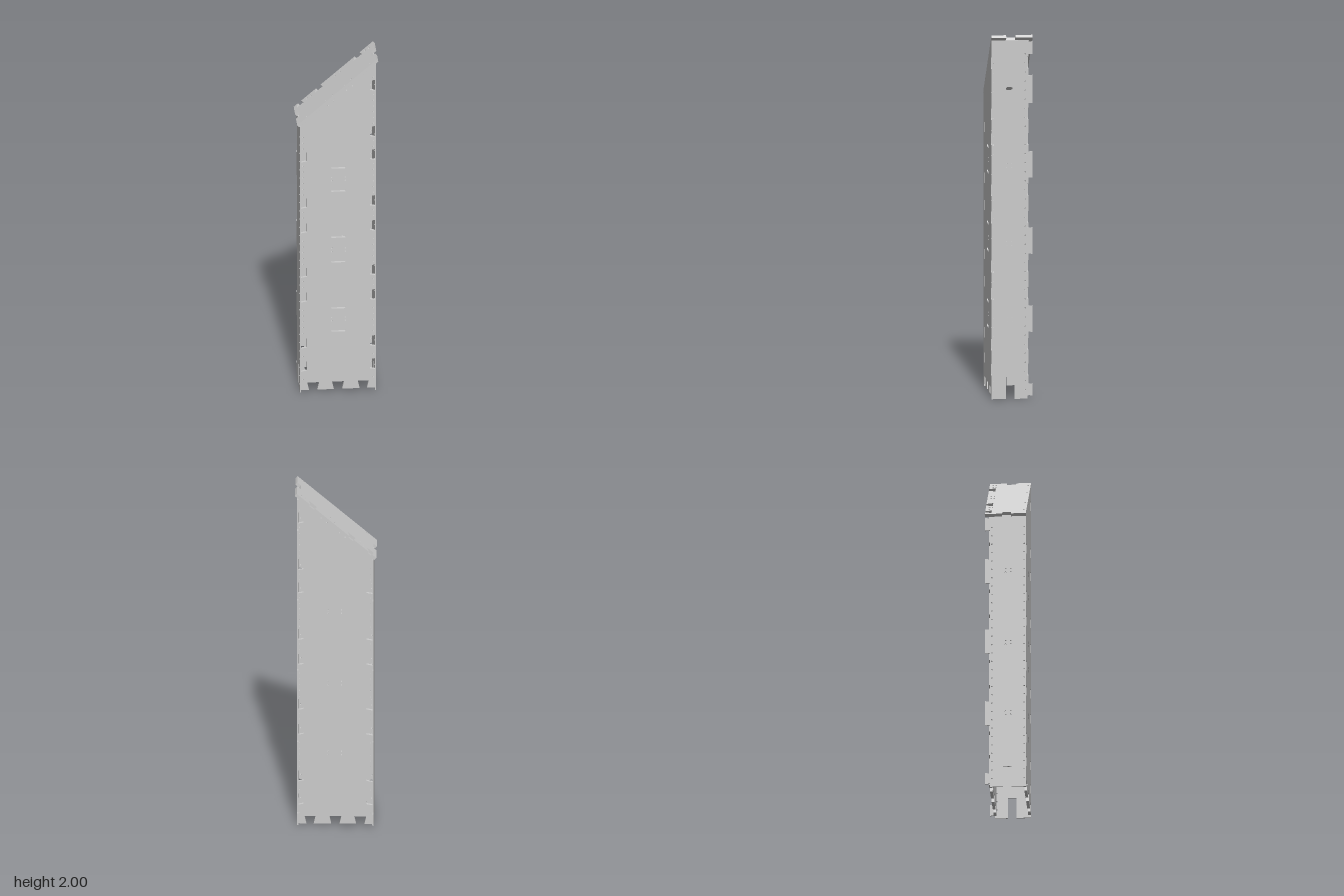
import * as THREE from 'three';

const T = 0.015;                               // sheet thickness
const SLOPE = 0.882, ANGLE = Math.atan(SLOPE), COS = Math.cos(ANGLE), SIN = Math.sin(ANGLE);
const ROOF_X = -0.22, ROOF_Y = 1.625;          // low corner of the roof
const under = x => ROOF_Y + (x - ROOF_X) * SLOPE - 0.0225;
const material = new THREE.MeshStandardMaterial({ color: 0xcccccc, side: THREE.DoubleSide });

// Points from a towards b (counter-clockwise outline), with dovetail cuts given
// as [low, high] along the edge; a negative depth makes tabs instead of notches
function edge(a, b, cuts = [], depth = 0, flare = 0) {
  const k = Math.abs(b[0] - a[0]) > Math.abs(b[1] - a[1]) ? 0 : 1;
  const s = Math.sign(b[k] - a[k]);
  const inward = k === 0 ? s : -s;
  const base = a[1 - k];
  const pts = [a];
  const put = (along, off) => pts.push(k === 0 ? [along, base + off] : [base + off, along]);
  [...cuts].sort((p, q) => s * (p[0] - q[0])).forEach(([lo, hi]) => {
    const [p, q] = s > 0 ? [lo, hi] : [hi, lo];
    put(p, 0);
    put(p - s * flare, inward * depth);
    put(q + s * flare, inward * depth);
    put(q, 0);
  });
  return pts;
}

const dot = (x, y, r = 0.0045) => new THREE.Path().absarc(x, y, r, 0, Math.PI * 2, true);

// Long slot with rounded ends
function slot(x, y, w, h) {
  const r = h / 2, d = w / 2 - r;
  return new THREE.Path().absarc(x + d, y, r, -Math.PI / 2, Math.PI / 2, false)
    .absarc(x - d, y, r, Math.PI / 2, Math.PI * 1.5, false);
}

function panel(name, points, holes, depth) {
  const shape = new THREE.Shape(points.map(p => new THREE.Vector2(p[0], p[1])));
  shape.holes = holes;
  const geo = new THREE.ExtrudeGeometry(shape, { depth, bevelEnabled: false, curveSegments: 5 });
  const mesh = new THREE.Mesh(geo, material);
  mesh.name = name;
  return mesh;
}

const LEVELS = [0.44, 0.86, 1.29];             // heights of the fixing holes
// 2 x 2 groups of fixing holes
const fixings = (cx, dx) => LEVELS.flatMap(y =>
  [-dx, dx].flatMap(x => [-0.01, 0.01].map(d => dot(cx + x, y + d))));

const LOW_NOTCHES = [0.16, 0.3, 0.58, 0.73, 1.0, 1.15, 1.43];
const HIGH_NOTCHES = [...LOW_NOTCHES, 1.57, 1.85];
const spans = list => list.map(y => [y - 0.033, y + 0.033]);
const clear = (y, list) => list.every(n => Math.abs(n - y) > 0.045);

// Front and back share an outline: notched sides, dovetailed foot, sloping top
function broadPanel(name, extraHoles) {
  const L = -0.198, R = 0.203, B = 0.015;
  const points = [
    ...edge([L, B], [R, B], [[-0.155, -0.11], [-0.02, 0.025], [0.12, 0.16]], 0.045, 0.01),
    ...edge([R, B], [R, under(R)], spans(HIGH_NOTCHES), 0.028, -0.006),
    [R, under(R)],
    ...edge([L, under(L)], [L, B], spans(LOW_NOTCHES), 0.031, -0.006),
  ];
  const holes = [...fixings(0.005, 0.037), ...extraHoles];
  for (let y = 0.08; y < 1.93; y += 0.035) {
    if (clear(y, HIGH_NOTCHES)) holes.push(dot(R - 0.008, y, 0.004));
    if (y < 1.58 && clear(y, LOW_NOTCHES)) holes.push(dot(L + 0.008, y, 0.004));
  }
  [-0.05, -0.02, 0.05, 0.08].forEach(x => holes.push(dot(x, under(x) - 0.015, 0.004)));
  return panel(name, points, holes, T);
}

// Side walls: drawn in (-z, y), with tabs reaching past the back panel
function sideWall(name, x, top, tabs, extraHoles) {
  const F = -0.11, K = 0.085;
  const points = [
    ...edge([F, 0], [K, 0], [[-0.032, 0.015]], 0.12, 0),
    ...edge([K, 0], [K, top], tabs, -0.028, 0.003),
    [K, top], [F, top],
  ];
  const holes = [...fixings(-0.013, 0.014), ...extraHoles];
  for (let y = 0.05; y < top - 0.03; y += 0.05) {
    holes.push(dot(F + 0.01, y, 0.004), dot(K - 0.01, y, 0.004));
  }
  const wall = panel(name, points, holes, 0.007);
  wall.applyMatrix4(new THREE.Matrix4().makeBasis(
    new THREE.Vector3(0, 0, -1), new THREE.Vector3(0, 1, 0), new THREE.Vector3(1, 0, 0)
  ).setPosition(x, 0, 0));
  return wall;
}

// Sloping roof: drawn in (distance up the slope, -z)
function roof() {
  const t = 0.0167, len = 0.574, F = -0.11, K = 0.113;
  const u = x => (x - ROOF_X) / COS;
  const mouths = [[-0.197, -0.18], [-0.098, -0.075], [0.112, 0.137]].map(m => m.map(u));
  const points = [
    [0, F],
    ...edge([len, F], [len, K], [[-0.03, 0.02]], 0.025, 0),
    ...edge([len, K], [0, K], mouths, 0.036, 0.013),
    ...edge([0, K], [0, F], [[-0.03, 0.02]], 0.025, 0),
  ];
  const holes = [-0.167, -0.065, -0.027, 0.038, 0.075, 0.178].map(x => dot(u(x), -0.096));
  [-0.15, -0.13, 0.003, 0.028, 0.165, 0.185].forEach(x =>
    holes.push(dot(u(x), 0.077), dot(u(x), 0.093)));
  const mesh = panel('roof', points, holes, t);
  mesh.applyMatrix4(new THREE.Matrix4().makeBasis(
    new THREE.Vector3(COS, SIN, 0), new THREE.Vector3(0, 0, -1), new THREE.Vector3(-SIN, COS, 0)
  ).setPosition(ROOF_X + SIN * t, ROOF_Y - COS * t, 0));
  return mesh;
}

export function createModel() {
  const group = new THREE.Group();
  group.name = 'slantedTower';

  // Front panel with pairs of long slots
  const slots = [0.37, 0.51, 0.79, 0.94, 1.22, 1.36].map(y => slot(0.005, y, 0.084, 0.014));
  const front = broadPanel('frontPanel', slots);
  front.position.z = 0.11 - T;

  // Back panel, set in from the tabs
  const back = broadPanel('backPanel', []);
  back.position.z = -0.092;

  // Tall and short side walls
  const tabs = [[0.02, 0.08], [0.37, 0.51], [0.8, 0.94], [1.22, 1.36]];
  const tall = sideWall('tallSideWall', 0.203, under(0.203),
    [...tabs, [1.63, 1.78], [1.9, 1.965]], [slot(-0.013, 1.71, 0.036, 0.016)]);
  const short = sideWall('shortSideWall', -0.205, under(-0.205), [...tabs, [1.535, 1.605]], []);

  group.add(front, back, tall, short, roof());
  return group;
}
